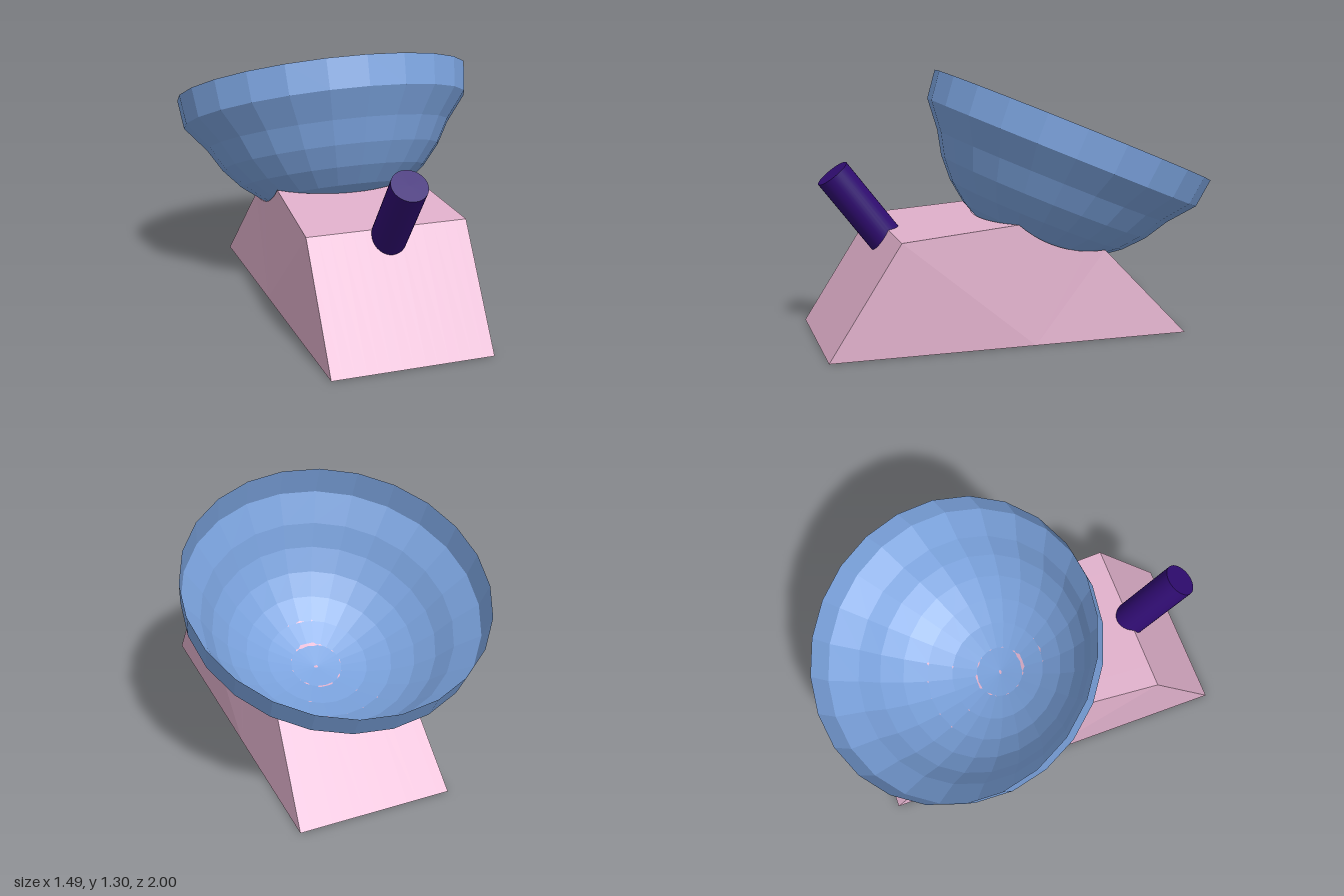
import * as THREE from 'three';

const mat = (color, flatShading = true) =>
  new THREE.MeshStandardMaterial({ color, flatShading, side: THREE.DoubleSide });

// sphere that both the bowl and its seat in the base follow
const TILT = -0.4, R = 0.688, CY = 1.028, CZ = -0.323;

function makeBowl() {
  const profile = [];
  for (let i = 0; i <= 6; i++) {
    const a = THREE.MathUtils.degToRad(i * 10.8);
    profile.push(new THREE.Vector2(R * Math.sin(a), 0.02 - R * Math.cos(a)));
  }
  // flared rim band
  profile.push(new THREE.Vector2(0.726, -0.146), new THREE.Vector2(0.744, 0));
  const bowl = new THREE.Mesh(new THREE.LatheGeometry(profile, 24), mat(0x7ba3de));
  bowl.position.set(0, 1.01, -0.315);
  bowl.rotation.x = TILT;
  bowl.name = 'bowl';
  return bowl;
}

// first hit of a ray (z, y) with the circular section of the sphere
function hit(z, y, dz, dy, r) {
  const oz = z - CZ, oy = y - CY;
  const a = dz * dz + dy * dy, b = oz * dz + oy * dy, c = oz * oz + oy * oy - r * r;
  const t = (-b - Math.sqrt(b * b - a * c)) / a;
  return [z + dz * t, y + dy * t];
}

// outline of the base at one slice, with the bowl seat cut out of its top
function slice(u) {
  const r = Math.sqrt(R * R - (u * 0.35) ** 2);
  const front = hit(0.65, 0.545, -0.57, 0.045, r);
  const back = hit(-0.78, 0, 0.41, 0.435, r);
  const a0 = Math.atan2(front[1] - CY, front[0] - CZ);
  const a1 = Math.atan2(back[1] - CY, back[0] - CZ);
  const pts = [[0, 0], [1, 0], [0.65, 0.545]];
  for (let i = 0; i <= 10; i++) {
    const a = a0 + (a1 - a0) * i / 10;
    pts.push([CZ + r * Math.cos(a), CY + r * Math.sin(a)]);
  }
  pts.push([-0.78, 0]);
  // sides lean in towards the upper back
  return pts.map(([z, y]) => [u * (0.392 - 0.104 * (0.65 - z) * y), y, z]);
}

function makeBase() {
  const pos = [], idx = [], N = 14;
  let n = 0;
  for (let s = 0; s <= N; s++) {
    const ring = slice(s / N * 2 - 1);
    n = ring.length;
    ring.forEach(p => pos.push(...p));
  }
  for (let s = 0; s < N; s++) for (let i = 0; i < n; i++) {
    const a = s * n + i, b = s * n + (i + 1) % n;
    idx.push(a, a + n, b, b, a + n, b + n);
  }
  // flat side faces, fanned from the middle of the bottom edge
  const e = N * n;
  for (let i = 1; i < n - 1; i++) idx.push(0, i, i + 1, e, e + i + 1, e + i);
  const g = new THREE.BufferGeometry();
  g.setAttribute('position', new THREE.Float32BufferAttribute(pos, 3));
  // outward winding
  for (let i = 0; i < idx.length; i += 3) [idx[i + 1], idx[i + 2]] = [idx[i + 2], idx[i + 1]];
  g.setIndex(idx);
  g.computeVertexNormals();
  const base = new THREE.Mesh(g, mat(0xe0b0cb));
  base.name = 'base';
  return base;
}

function makePeg() {
  const L = 0.58;
  const g = new THREE.CylinderGeometry(0.086, 0.086, L, 32);
  g.translate(0, -L / 2, 0);
  const peg = new THREE.Mesh(g, mat(0x300c72, false));
  peg.position.set(0.002, 0.822, 0.902);
  peg.rotation.x = 0.65;
  peg.name = 'peg';
  return peg;
}

export function createModel() {
  const model = new THREE.Group();
  model.add(makeBase(), makeBowl(), makePeg());
  return model;
}
